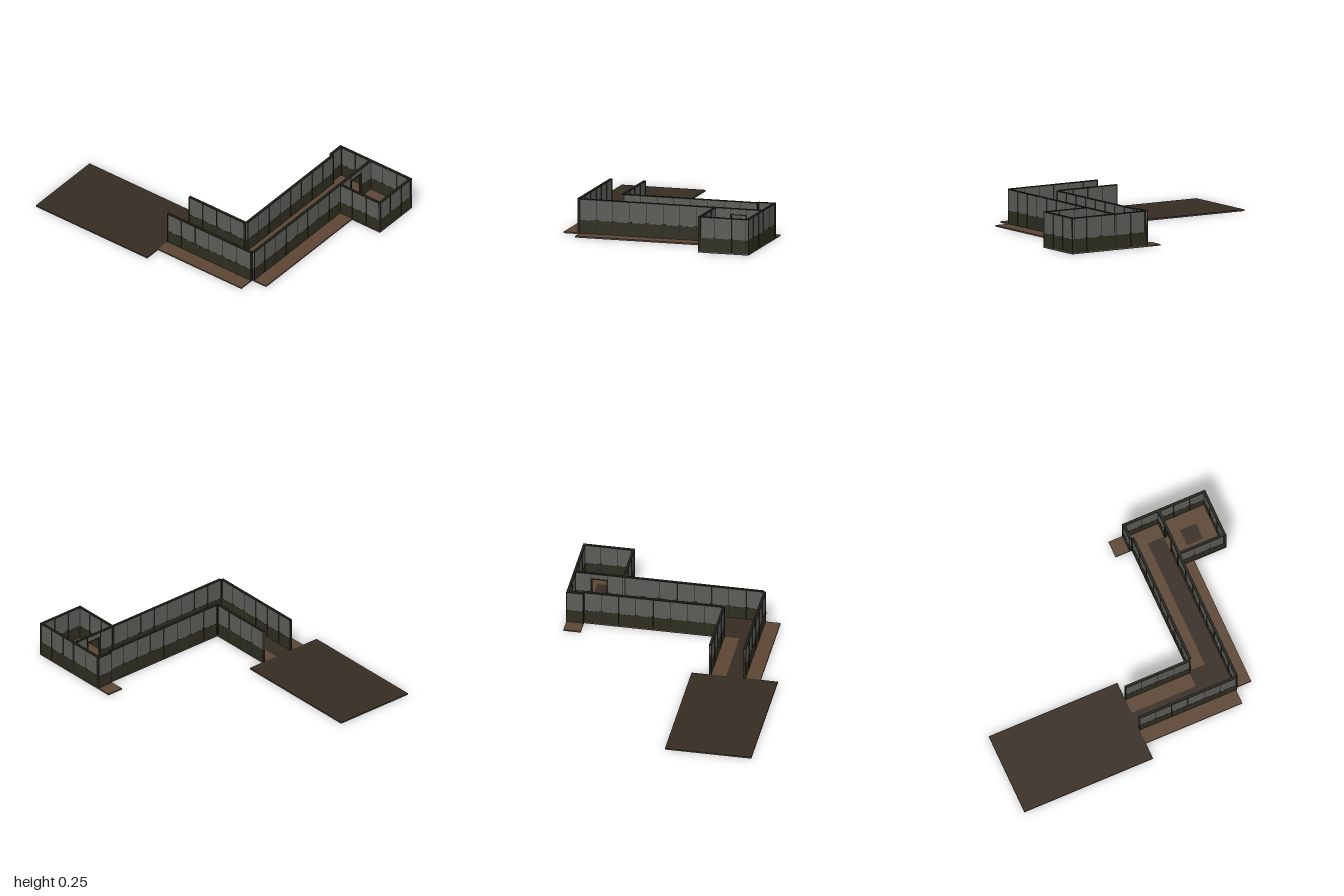
import * as THREE from 'three';

const mat = (name, color) => {
  const m = new THREE.MeshStandardMaterial({ color });
  m.name = name;
  return m;
};

export function createModel() {
  const model = new THREE.Group();
  model.name = 'corridorComplex';
  const brown = mat('brownFloor', 0x5c4634);
  const dark = mat('darkFloor', 0x352b22);
  const base = mat('greyBase', 0x48484a);
  const grey = mat('greyPanel', 0x5b5b57);
  const olive = mat('oliveDado', 0x2d2d20);
  const trim = mat('darkTrim', 0x20211a);

  const T = 0.1175;                    // tile size
  const X = (i) => -0.764 + i * T;     // tile columns, 0..13
  const Z = (j) => -1 + j * T;         // tile rows; 8 is the platform edge
  const FLOOR = 0.01, TOP = 0.245, DADO = 0.1, THICK = 0.018;

  function box(parent, name, material, x0, x1, y0, y1, z0, z1) {
    const mesh = new THREE.Mesh(new THREE.BoxGeometry(x1 - x0, y1 - y0, z1 - z0), material);
    mesh.position.set((x0 + x1) / 2, (y0 + y1) / 2, (z0 + z1) / 2);
    mesh.name = name;
    parent.add(mesh);
  }

  // Floor areas in tile units: a grey slab with a coloured top
  function floor(name, material, i0, i1, j0, j1) {
    const g = new THREE.Group();
    g.name = name;
    box(g, 'slab', base, X(i0), X(i1), 0, 0.007, Z(j0), Z(j1));
    box(g, 'surface', material, X(i0), X(i1), 0.007, FLOOR, Z(j0), Z(j1));
    model.add(g);
  }
  floor('platform', dark, 0, 5, 0, 8);
  floor('outerSideStrip', brown, 1, 2, 8, 14);
  floor('sidePath', dark, 2, 3, 8, 14);
  floor('innerSideStrip', brown, 3, 4, 8, 12);
  floor('cornerPath', dark, 3, 4, 12, 14);
  floor('hallStrip', brown, 4, 12, 12, 13);
  floor('hallPath', dark, 4, 12, 13, 14);
  floor('hallEnd', brown, 12, 13, 11, 14);
  floor('frontStrip', brown, 2, 10, 14, 15);
  floor('roomBack', brown, 10, 13, 14, 15);
  floor('roomLeft', brown, 12, 13, 15, 16);
  floor('roomRight', brown, 10, 11, 15, 16);
  floor('roomCentre', dark, 11, 12, 15, 16);
  floor('roomFront', brown, 10, 13, 16, 17);

  // Wall built along local x from 0, one panel per tile; door is a panel index
  function wall(name, x, z, count, alongZ, door = -1) {
    const g = new THREE.Group();
    g.name = name;
    const h = THICK / 2, p = h - 0.003, d = h - 0.002;
    for (let k = 0; k < count; k++) {
      const a = k * T, b = a + T;
      if (k === door) {
        box(g, 'doorLintel', grey, a, b, 0.205, TOP - 0.007, -p, p);
        box(g, 'doorHead', trim, a, b, 0.199, 0.205, -h, h);
        box(g, 'doorJamb', trim, a, a + 0.008, FLOOR, 0.2, -h, h);
        box(g, 'doorJamb', trim, b - 0.008, b, FLOOR, 0.2, -h, h);
      } else {
        box(g, 'upperPanel', grey, a, b, DADO, TOP - 0.007, -p, p);
        box(g, 'dado', olive, a, b, FLOOR, DADO, -d, d);
      }
    }
    // Thin ribs and small caps at the panel joints
    for (let k = 0; k <= count; k++) {
      const w = k === 0 || k === count ? 0.003 : 0.0012;
      const c = k === 0 ? w : k === count ? k * T - w : k * T;
      box(g, 'rib', trim, c - w, c + w, FLOOR, TOP - 0.007, -h, h);
      if (k > 0 && k < count) box(g, 'jointCap', olive, c - 0.014, c + 0.014, DADO - 0.002, DADO + 0.007, -d, d);
    }
    box(g, 'topRail', trim, 0, count * T, TOP - 0.007, TOP, -h, h);
    g.position.set(x, 0, z);
    if (alongZ) g.rotation.y = -Math.PI / 2;
    model.add(g);
  }
  const h = THICK / 2;
  wall('outerSideWall', X(2) - h, Z(8), 6, true);
  wall('innerSideWall', X(4) - h, Z(8), 4, true);
  wall('hallBackWall', X(4), Z(12) + h, 8, false);
  wall('hallEndWall', X(12), Z(12) - h, 1, false);
  wall('leftWall', X(13) - h, Z(12), 5, true);
  wall('hallFrontWall', X(2), Z(14) + h, 11, false, 9);
  wall('roomRightWall', X(10) + h, Z(14), 3, true);
  wall('roomFrontWall', X(10), Z(17) - h, 3, false);

  // Corner post joining the side wall to the front wall
  box(model, 'cornerPost', trim, X(2) - THICK, X(2) + 0.004, FLOOR, TOP, Z(14) - 0.004, Z(14) + 0.004);
  return model;
}
